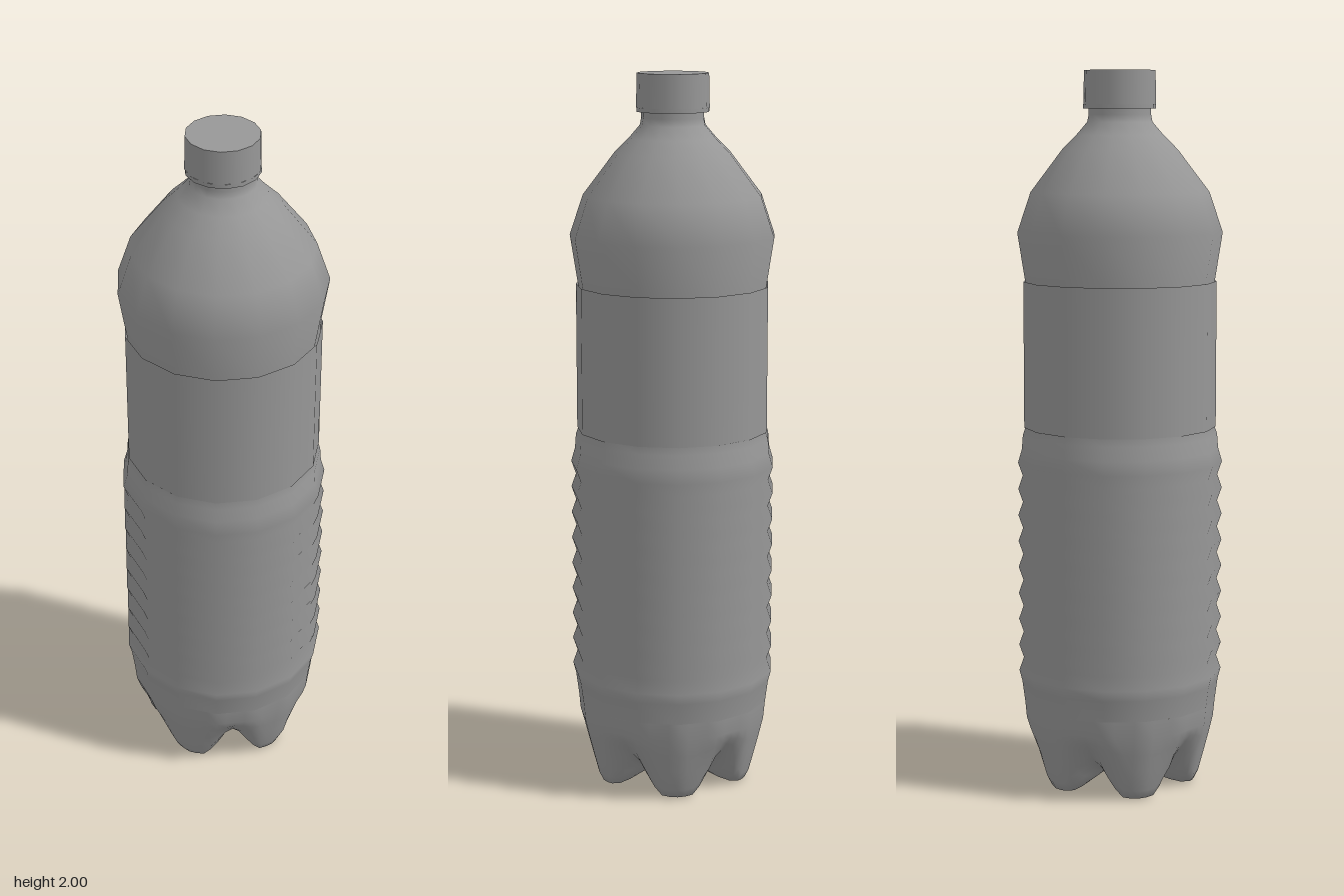
import * as THREE from 'three';
import { mergeVertices } from 'three/addons/utils/BufferGeometryUtils.js';

const SIDES = 15;
const START = THREE.MathUtils.degToRad(-4);
const grey = new THREE.MeshStandardMaterial({ color: 0x979797 });
const greyDouble = new THREE.MeshStandardMaterial({ color: 0x979797, side: THREE.DoubleSide });

const toPoints = (list) => list.map(([r, y]) => new THREE.Vector2(r, y));

function lathe(name, list, material = grey) {
  const mesh = new THREE.Mesh(new THREE.LatheGeometry(toPoints(list), SIDES, START), material);
  mesh.name = name;
  return mesh;
}

// Five-footed base: blends a broad foot profile into a narrow groove profile around the axis
function makeBase() {
  const foot = [[0, 0.05], [0.05, 0.045], [0.1, 0.024], [0.15, 0.008], [0.185, 0.002], [0.212, 0.006],
    [0.224, 0.03], [0.24, 0.09], [0.253, 0.14], [0.265, 0.19], [0.27, 0.24]];
  const groove = [[0, 0.05], [0.05, 0.05], [0.09, 0.056], [0.13, 0.068], [0.165, 0.085], [0.195, 0.105],
    [0.22, 0.128], [0.24, 0.152], [0.256, 0.172], [0.266, 0.195], [0.27, 0.24]];
  const perSide = 4;
  const segments = SIDES * perSide;
  const perFoot = segments / 5;
  const geometry = new THREE.LatheGeometry(toPoints(foot), segments, START);
  const position = geometry.attributes.position;
  for (let i = 0; i <= segments; i++) {
    const phi = START + (i / segments) * Math.PI * 2;
    // 0 at the middle of a foot, 1 at the middle of a groove
    const t = 1 - Math.abs((i % perFoot) / perFoot * 2 - 1);
    const w = THREE.MathUtils.smoothstep(t, 0.25, 1);
    // keep every column on the flat sides of the polygon
    const offset = ((i % perSide) / perSide - 0.5) * (Math.PI * 2 / SIDES);
    const chord = Math.cos(Math.PI / SIDES) / Math.cos(offset);
    foot.forEach(([fr, fy], j) => {
      const r = THREE.MathUtils.lerp(fr, groove[j][0], w) * chord;
      const y = THREE.MathUtils.lerp(fy, groove[j][1], w);
      position.setXYZ(i * foot.length + j, r * Math.sin(phi), y, r * Math.cos(phi));
    });
  }
  geometry.deleteAttribute('uv');
  geometry.deleteAttribute('normal');
  const merged = mergeVertices(geometry, 1e-5);
  merged.computeVertexNormals();
  const mesh = new THREE.Mesh(merged, grey);
  mesh.name = 'footedBase';
  return mesh;
}

export function createModel() {
  const bottle = new THREE.Group();
  bottle.name = 'bottle';

  bottle.add(makeBase());

  // Ribbed lower wall, waist, shoulder and neck
  const profile = [[0.27, 0.24], [0.278, 0.3]];
  const ribs = 9, pitch = 0.074;
  for (let i = 0; i < ribs; i++) {
    const y = 0.33 + i * pitch;
    profile.push([0.286, y]);
    if (i < ribs - 1) profile.push([0.273, y + pitch / 2]);
  }
  profile.push([0.275, 0.96], [0.272, 1.0], [0.261, 1.03], [0.262, 1.42],
    [0.284, 1.56], [0.247, 1.67], [0.16, 1.785],
    [0.12, 1.825], [0.09, 1.86], [0.086, 1.88], [0.086, 1.92]);
  bottle.add(lathe('body', profile));

  // Label sleeve around the waist
  bottle.add(lathe('labelSleeve', [[0.268, 1.02], [0.268, 1.425]], greyDouble));

  // Ring closing the underside of the cap
  const ring = new THREE.Mesh(new THREE.CylinderGeometry(0.1, 0.1, 0.012, 14), grey);
  ring.name = 'neckRing';
  ring.position.y = 1.902;
  ring.rotation.y = 0.15;
  bottle.add(ring);

  // Screw cap
  const cap = new THREE.Mesh(new THREE.CylinderGeometry(0.098, 0.1, 0.093, 14), grey);
  cap.name = 'cap';
  cap.position.y = 1.9535;
  cap.rotation.y = Math.PI;
  bottle.add(cap);

  return bottle;
}
